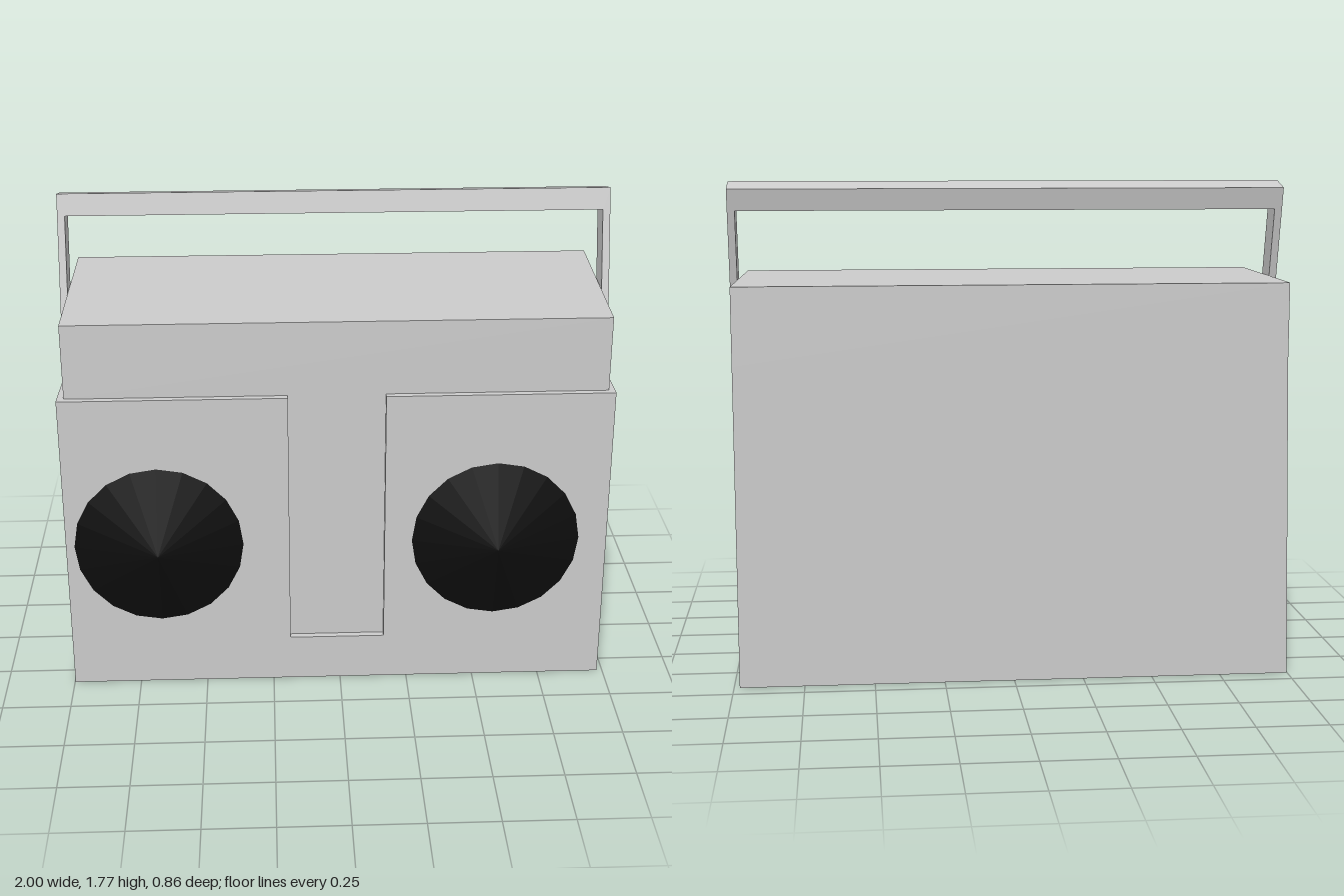
import * as THREE from 'three';

const grey = new THREE.MeshStandardMaterial({ color: 0xcccccc, flatShading: true });
const black = new THREE.MeshStandardMaterial({ color: 0x0d0d0d, flatShading: true });

const BACK = -0.43, RECESS = 0.31, FRONT = 0.335, SHOULDER = 1.15, TOP = 1.425;

// Box given by its limits
function block(x0, x1, y0, y1, z0, z1) {
  return new THREE.BoxGeometry(x1 - x0, y1 - y0, z1 - z0)
    .translate((x0 + x1) / 2, (y0 + y1) / 2, (z0 + z1) / 2);
}

// Shift in x every vertex that meets the test
function shiftX(geometry, test, dx) {
  const p = geometry.attributes.position;
  for (let i = 0; i < p.count; i++) {
    if (test(p.getX(i), p.getY(i), p.getZ(i))) p.setX(i, p.getX(i) + dx);
  }
  geometry.computeVertexNormals();
  return geometry;
}

function polygon(points) {
  return new THREE.Shape(points.map(([x, y]) => new THREE.Vector2(x, y)));
}

export function createModel() {
  const model = new THREE.Group();
  const add = (name, geometry, material = grey) => {
    const mesh = new THREE.Mesh(geometry, material);
    mesh.name = name;
    model.add(mesh);
    return mesh;
  };

  // Lower case, its right rear top corner drawn in to meet the upper case
  add('lowerCase', shiftX(block(-0.998, 0.98, 0, SHOULDER, BACK, RECESS),
    (x, y, z) => x < 0 && y > 1 && z < 0, 0.025));

  // Upper case, slightly narrower at the front
  add('upperCase', shiftX(block(-0.973, 0.98, SHOULDER, TOP, BACK, RECESS),
    (x, y, z) => x > 0 && z > 0, -0.022));

  // Front panel with the open slot for the deck
  const panel = polygon([
    [-0.998, 0], [0.98, 0], [0.98, SHOULDER], [0.163, SHOULDER],
    [0.163, 0.175], [-0.185, 0.175], [-0.185, SHOULDER], [-0.998, SHOULDER],
  ]);
  add('frontPanel', new THREE.ExtrudeGeometry(panel, { depth: FRONT - RECESS, bevelEnabled: false })
    .translate(0, 0, RECESS));

  // Shallow speaker cones
  for (const [name, x] of [['rightSpeaker', -0.66], ['leftSpeaker', 0.57]]) {
    const cone = new THREE.ConeGeometry(0.307, 0.092, 20).rotateX(Math.PI / 2);
    add(name, cone.translate(x, 0.575, FRONT + 0.046), black);
  }

  // Carrying handle, leaning backwards
  const length = 0.497, arm = 0.027, bar = 0.08, width = 0.103;
  const hoop = polygon([
    [-1, 0], [-1 + arm, 0], [-1 + arm, length - bar], [1 - arm, length - bar],
    [1 - arm, 0], [1, 0], [1, length], [-1, length],
  ]);
  const handle = add('handle', new THREE.ExtrudeGeometry(hoop, { depth: width, bevelEnabled: false })
    .translate(0, 0, -width / 2));
  handle.position.set(0, 1.28, -0.03);
  handle.rotation.x = -0.243;

  return model;
}
